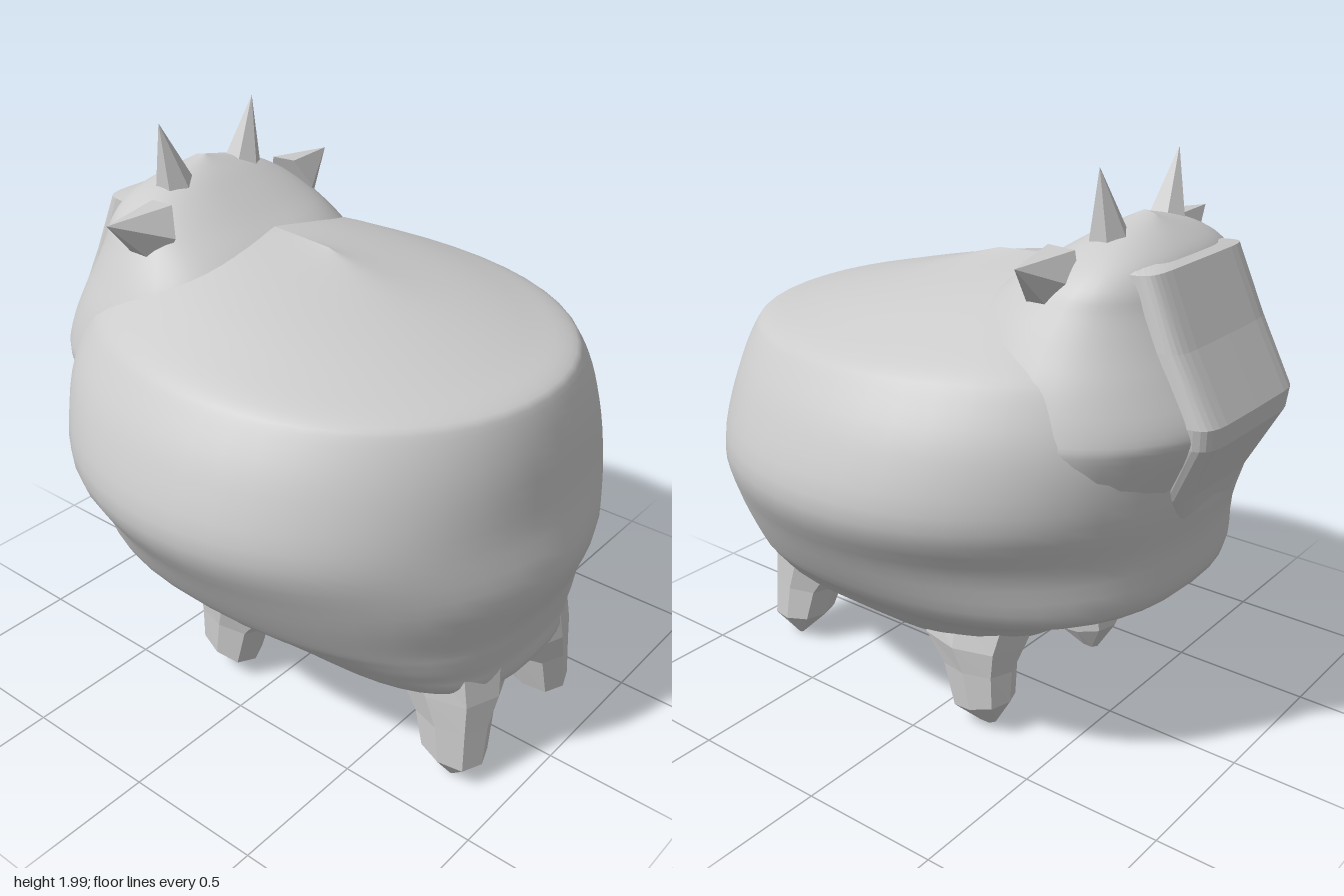
import * as THREE from 'three';

const smoothMat = new THREE.MeshStandardMaterial({ color: 0xcccccc });
const flatMat = new THREE.MeshStandardMaterial({ color: 0xcccccc, flatShading: true });

// Evaluate one column of the ring table with a smooth spline through the rings.
function splineColumn(rings, col, t) {
  return new THREE.SplineCurve(rings.map((r, i) => new THREE.Vector2(i, r[col]))).getPoint(t).y;
}

// Loft upward through rings [y at +z end, y at -z end, z max, z min, half width, squareness, centre x].
function loft(rings, sides, steps, smooth) {
  const pos = [], index = [];
  for (let i = 0; i <= steps; i++) {
    const r = smooth ? rings[0].map((_, c) => splineColumn(rings, c, i / steps)) : rings[i];
    const [yB, yF, zB, zF, w, power, cx = 0] = r;
    const se = v => Math.sign(v) * Math.abs(v) ** (2 / power);
    for (let j = 0; j < sides; j++) {
      const a = (j / sides) * Math.PI * 2;
      const k = (se(Math.cos(a)) + 1) / 2;
      pos.push(cx + Math.max(w, 0) * se(Math.sin(a)), yF + (yB - yF) * k, zF + (zB - zF) * k);
      if (i < steps) {
        const p = i * sides + j, q = i * sides + (j + 1) % sides;
        index.push(p, q, p + sides, q, q + sides, p + sides);
      }
    }
  }
  const g = new THREE.BufferGeometry();
  g.setAttribute('position', new THREE.Float32BufferAttribute(pos, 3));
  g.setIndex(index);
  g.computeVertexNormals();
  return g;
}

// A pointed spike from base centre to tip; the base can be flattened.
function spike(base, tip, radius, squash = 1) {
  const a = new THREE.Vector3(...base), d = new THREE.Vector3(...tip).sub(a);
  const g = new THREE.ConeGeometry(radius, d.length(), 6);
  g.translate(0, d.length() / 2, 0);
  g.scale(1, 1, squash);
  g.applyQuaternion(new THREE.Quaternion().setFromUnitVectors(new THREE.Vector3(0, 1, 0), d.normalize()));
  g.translate(a.x, a.y, a.z);
  return g;
}

export function createModel() {
  const model = new THREE.Group();
  const add = (name, geometry, material) => {
    const mesh = new THREE.Mesh(geometry, material);
    mesh.name = name;
    model.add(mesh);
  };

  // Barrel body: flat belly, squarer haunches, wide waist, back sloping up towards the head
  const body = [
    [0.24, 0.22, 0.35, 0.1, 0, 2],
    [0.26, 0.23, 0.62, -0.1, 0.25, 2.2],
    [0.36, 0.35, 0.875, -0.34, 0.42, 2.8],
    [0.47, 0.48, 0.9, -0.5, 0.55, 2.7],
    [0.55, 0.56, 0.915, -0.66, 0.64, 2.5],
    [0.62, 0.635, 0.93, -0.8, 0.72, 2.3],
    [0.8, 0.82, 0.985, -0.825, 0.83, 2.05],
    [1.0, 1.0, 0.945, -0.86, 0.925, 2.05],
    [1.2, 1.22, 0.92, -0.88, 0.865, 2.05],
    [1.35, 1.38, 0.88, -0.84, 0.77, 2.05],
    [1.395, 1.46, 0.84, -0.78, 0.705, 2.05],
    [1.43, 1.55, 0.72, -0.68, 0.56, 2.05],
    [1.48, 1.61, 0.54, -0.58, 0.41, 2.05],
    [1.55, 1.65, 0.28, -0.45, 0.22, 2],
    [1.635, 1.65, 0.0, -0.25, 0, 2],
  ];
  add('body', loft(body, 48, 56, true), smoothMat);

  // Head: domed crown running into the neck, cheeks tapering into the body
  const head = [
    [0.75, 0.75, -0.2, -0.79, 0.3, 2],
    [1.0, 1.0, -0.05, -0.85, 0.56, 2],
    [1.2, 1.2, 0, -0.955, 0.61, 2],
    [1.28, 1.28, 0, -0.97, 0.6, 2],
    [1.4, 1.4, -0.02, -0.91, 0.56, 2.1],
    [1.52, 1.5, -0.08, -0.855, 0.5, 2.2],
    [1.61, 1.6, -0.18, -0.805, 0.44, 2.3],
    [1.68, 1.67, -0.29, -0.775, 0.39, 2.4],
    [1.745, 1.73, -0.39, -0.74, 0.31, 2.4],
    [1.795, 1.78, -0.47, -0.68, 0.2, 2.2],
    [1.84, 1.83, -0.56, -0.6, 0, 2],
  ];
  add('head', loft(head, 40, 40, true), smoothMat);

  // Flat face panel from the brow down to the squared lip and under the jaw
  const face = [
    [0.9, 0.9, -0.5, -0.83, 0.18, 6],
    [1.02, 1.02, -0.5, -0.875, 0.24, 6],
    [1.22, 1.22, -0.5, -0.978, 0.28, 7],
    [1.29, 1.29, -0.5, -0.985, 0.29, 7],
    [1.5, 1.5, -0.5, -0.87, 0.29, 7],
    [1.7, 1.72, -0.5, -0.77, 0.28, 7],
    [1.74, 1.73, -0.5, -0.74, 0.2, 5],
  ];
  add('face', loft(face, 32, 6, false), flatMat);

  // Legs, listed from the foot upward
  const backLeg = s => [
    [0.01, 0.01, 0.79, 0.77, 0.01, 2.4, 0.28 * s],
    [0.09, 0.12, 0.885, 0.66, 0.1, 2.4, 0.26 * s],
    [0.24, 0.24, 0.885, 0.62, 0.115, 2.4, 0.24 * s],
    [0.35, 0.35, 0.895, 0.53, 0.16, 2.4, 0.2 * s],
    [0.6, 0.5, 0.87, 0.4, 0.19, 2.4, 0.17 * s],
  ];
  const frontLeg = s => [
    [0.04, 0.025, -0.14, -0.23, 0.03, 2.4, 0.32 * s],
    [0.08, 0.14, -0.08, -0.3, 0.09, 2.4, 0.33 * s],
    [0.24, 0.26, -0.03, -0.305, 0.1, 2.4, 0.325 * s],
    [0.34, 0.35, 0.06, -0.33, 0.15, 2.4, 0.29 * s],
    [0.46, 0.47, 0.1, -0.36, 0.15, 2.4, 0.26 * s],
  ];

  for (const [s, side] of [[1, 'left'], [-1, 'right']]) {
    add(side + 'BackLeg', loft(backLeg(s), 8, 4, false), flatMat);
    add(side + 'FrontLeg', loft(frontLeg(s), 8, 4, false), flatMat);
    add(side + 'Horn', spike([s * 0.165, 1.77, -0.54], [s * 0.225, 2, -0.54], 0.07), flatMat);
    add(side + 'Ear', spike([s * 0.34, 1.67, -0.46], [s * 0.54, 1.75, -0.47], 0.12, 0.8), flatMat);
  }
  return model;
}
